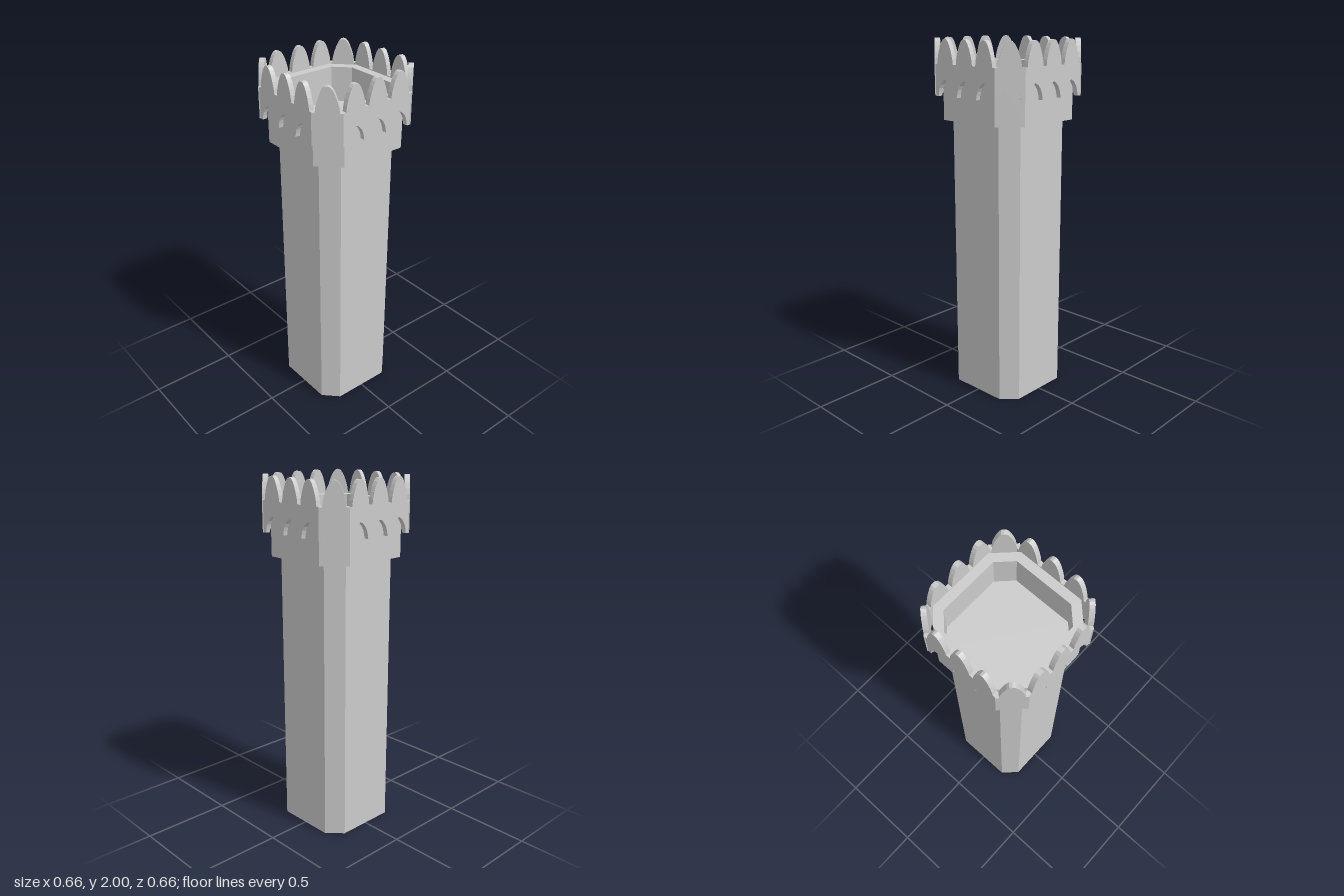
import * as THREE from 'three';

const material = new THREE.MeshStandardMaterial({ color: 0xcccccc });

// Square with cut corners: half = half width, flat = half length of a straight side
function octagon(half, flat, PathType = THREE.Shape) {
  const corners = [
    [half, -flat], [half, flat], [flat, half], [-flat, half],
    [-half, flat], [-half, -flat], [-flat, -half], [flat, -half],
  ];
  return new PathType(corners.map(([x, y]) => new THREE.Vector2(x, y)));
}

// Upright prism between two heights
function prism(name, shape, bottom, top) {
  const geometry = new THREE.ExtrudeGeometry(shape, { depth: top - bottom, bevelEnabled: false });
  geometry.rotateX(-Math.PI / 2).translate(0, bottom, 0);
  const mesh = new THREE.Mesh(geometry, material);
  mesh.name = name;
  return mesh;
}

// Ogive outline around a centre, from left foot over the tip to the right foot
function ogive(center, base, profile) {
  const left = profile.map(([w, h]) => new THREE.Vector2(center - w, base + h));
  const right = profile.slice(0, -1).reverse().map(([w, h]) => new THREE.Vector2(center + w, base + h));
  return [...left, ...right];
}

const MERLON = [[0.06, 0], [0.056, 0.03], [0.048, 0.06], [0.037, 0.09], [0.026, 0.112], [0.014, 0.126], [0, 0.13]];
const ARCH = [[0.056, 0], [0.053, 0.02], [0.047, 0.042], [0.036, 0.062], [0.02, 0.08], [0, 0.09]];

// Parapet slab with pointed merlons above and arches cut in its lower edge
function parapetPanel(halfLength, centers, thickness) {
  const points = [new THREE.Vector2(-halfLength, 1.7)];
  for (const c of centers) points.push(...ogive(c, 1.7, ARCH));
  points.push(new THREE.Vector2(halfLength, 1.7), new THREE.Vector2(halfLength, 1.87));
  for (const c of [...centers].reverse()) points.push(...ogive(c, 1.87, MERLON).reverse());
  points.push(new THREE.Vector2(-halfLength, 1.87));
  return new THREE.ExtrudeGeometry(new THREE.Shape(points), { depth: thickness, bevelEnabled: false });
}

export function createModel() {
  const tower = new THREE.Group();
  tower.name = 'tower';

  // Shaft, its top is the floor of the platform
  tower.add(prism('shaft', octagon(0.25, 0.17), 0, 1.67));

  // Wider collar ring around the platform
  const ring = octagon(0.3, 0.19);
  ring.holes.push(octagon(0.25, 0.17, THREE.Path));
  tower.add(prism('collar', ring, 1.57, 1.865));

  // Parapet: four long sides and four short corner panels
  const side = parapetPanel(0.222, [-0.143, 0, 0.143], 0.027);
  const corner = parapetPanel(0.077, [0], 0.028);
  const parapet = new THREE.Group();
  parapet.name = 'parapet';
  for (let i = 0; i < 8; i++) {
    const diagonal = i % 2 === 1;
    const panel = new THREE.Mesh(diagonal ? corner : side, material);
    panel.name = diagonal ? 'cornerPanel' : 'sidePanel';
    const angle = (i * Math.PI) / 4;
    const distance = diagonal ? 0.363 : 0.3;
    panel.rotation.y = angle;
    panel.position.set(Math.sin(angle) * distance, 0, Math.cos(angle) * distance);
    parapet.add(panel);
  }
  tower.add(parapet);
  return tower;
}
